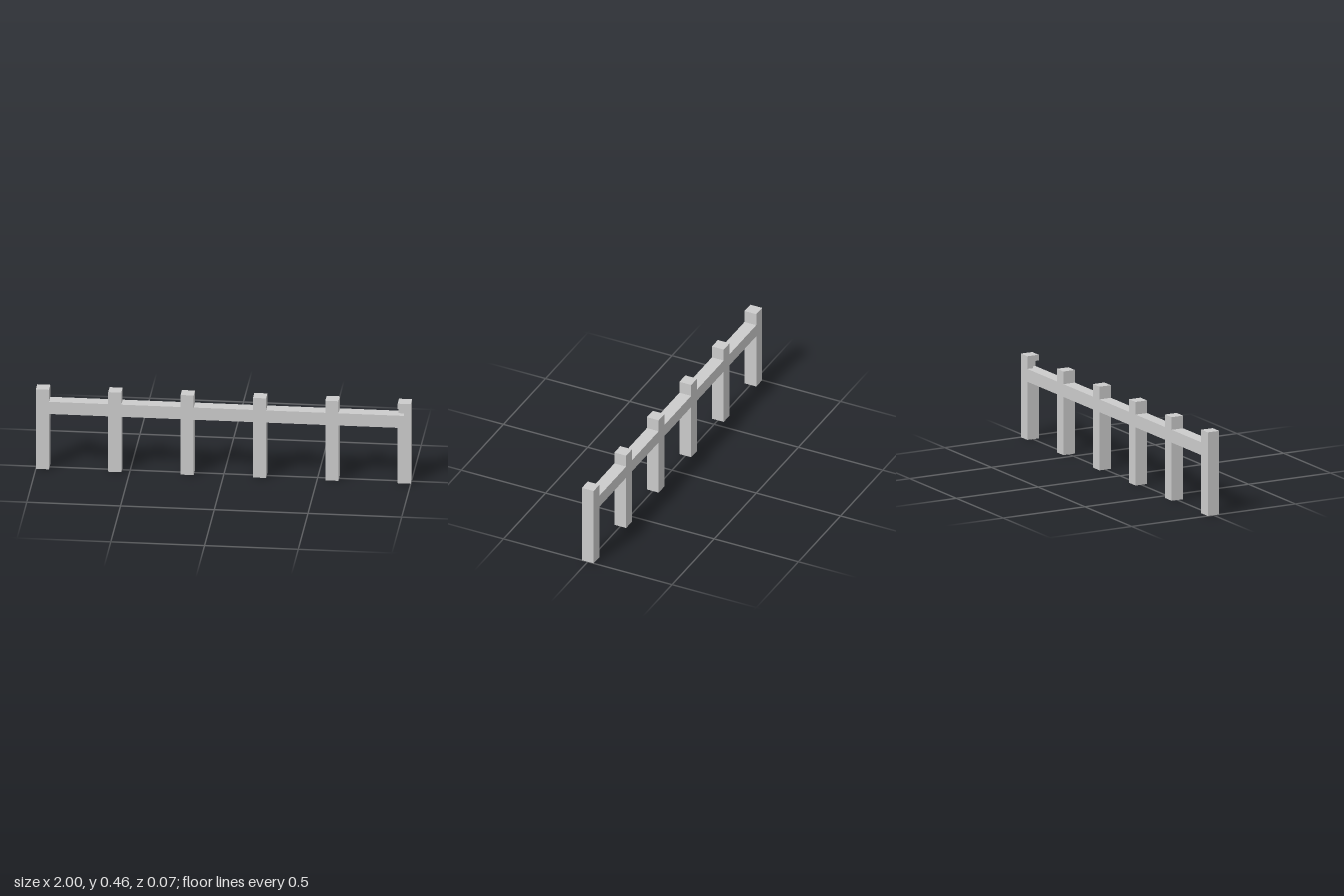
import * as THREE from 'three';

const POSTS = 6;
const W = 0.07;            // square timber thickness
const HEIGHT = 0.457;
const RAIL_LOW = 0.318;
const RAIL_TOP = 0.388;
const NOTCH_TOP = 0.426;
const STEP = (2 - W) / (POSTS - 1);

const material = new THREE.MeshStandardMaterial({ color: 0xcccccc, flatShading: true });

// Box of timber depth, given its x and y extents
function timber(name, x0, x1, y0, y1) {
  const mesh = new THREE.Mesh(new THREE.BoxGeometry(x1 - x0, y1 - y0, W), material);
  mesh.name = name;
  mesh.position.set((x0 + x1) / 2, (y0 + y1) / 2, 0);
  return mesh;
}

// End post with a small notch cut from its inner front corner, just above the rail
function notchedPost(x0) {
  const post = new THREE.Group();
  post.name = 'notchedEndPost';
  post.add(timber('postShaft', x0, x0 + W, 0, RAIL_TOP));
  post.add(timber('postCap', x0, x0 + W, NOTCH_TOP, HEIGHT));

  // L-shaped plan; shape y becomes -z once the extrusion is stood upright
  const h = W / 2;
  const plan = new THREE.Shape([[0, -h], [h, -h], [h, h], [-h, h], [-h, 0], [0, 0]]
    .map(([x, y]) => new THREE.Vector2(x, y)));
  const geometry = new THREE.ExtrudeGeometry(plan, { depth: NOTCH_TOP - RAIL_TOP, bevelEnabled: false });
  geometry.rotateX(-Math.PI / 2);
  const neck = new THREE.Mesh(geometry, material);
  neck.name = 'postNotch';
  neck.position.set(x0 + h, RAIL_TOP, 0);
  post.add(neck);
  return post;
}

export function createModel() {
  const fence = new THREE.Group();
  fence.name = 'fence';
  for (let i = 0; i < POSTS; i++) {
    const x0 = -1 + i * STEP;
    if (i === POSTS - 1) {
      fence.add(notchedPost(x0));
    } else {
      fence.add(timber('post', x0, x0 + W, 0, HEIGHT));
      // Rail section reaching to the next post
      fence.add(timber('rail', x0 + W, x0 + STEP, RAIL_LOW, RAIL_TOP));
    }
  }
  return fence;
}
